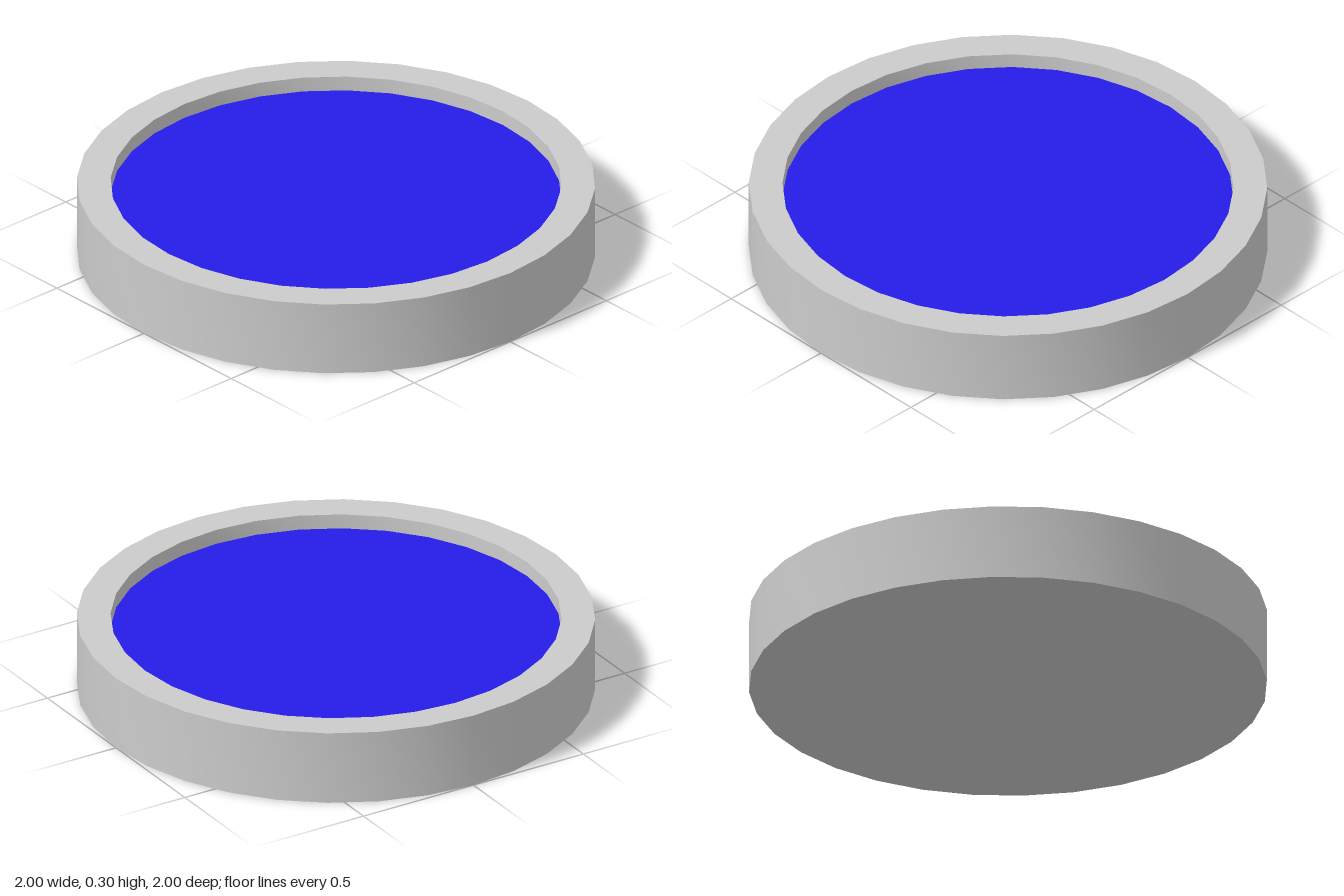
import * as THREE from 'three';
import { toCreasedNormals } from 'three/addons/utils/BufferGeometryUtils.js';

const SIDES = 32;
const OUTER = 1, INNER = 0.87, HEIGHT = 0.3, FLOOR = 0.24;

export function createModel() {
  const group = new THREE.Group();
  const grey = new THREE.MeshStandardMaterial({ color: 0xcccccc });
  const blue = new THREE.MeshStandardMaterial({ color: 0x251ce7 });

  const add = (name, geometry, material) => {
    const mesh = new THREE.Mesh(geometry, material);
    mesh.name = name;
    group.add(mesh);
    return mesh;
  };

  // Outer wall, flat rim and inner lip in one turned profile
  const profile = [
    [OUTER, 0], [OUTER, HEIGHT], [INNER, HEIGHT], [INNER, FLOOR],
  ].map(([r, y]) => new THREE.Vector2(r, y));
  add('rimWall', toCreasedNormals(new THREE.LatheGeometry(profile, SIDES), Math.PI / 6), grey);

  // Underside
  const base = add('base', new THREE.CircleGeometry(OUTER, SIDES), grey);
  base.rotation.x = Math.PI / 2;

  // Recessed coloured disc
  const disc = add('recessedDisc', new THREE.CircleGeometry(INNER, SIDES), blue);
  disc.rotation.x = -Math.PI / 2;
  disc.position.y = FLOOR;

  return group;
}
